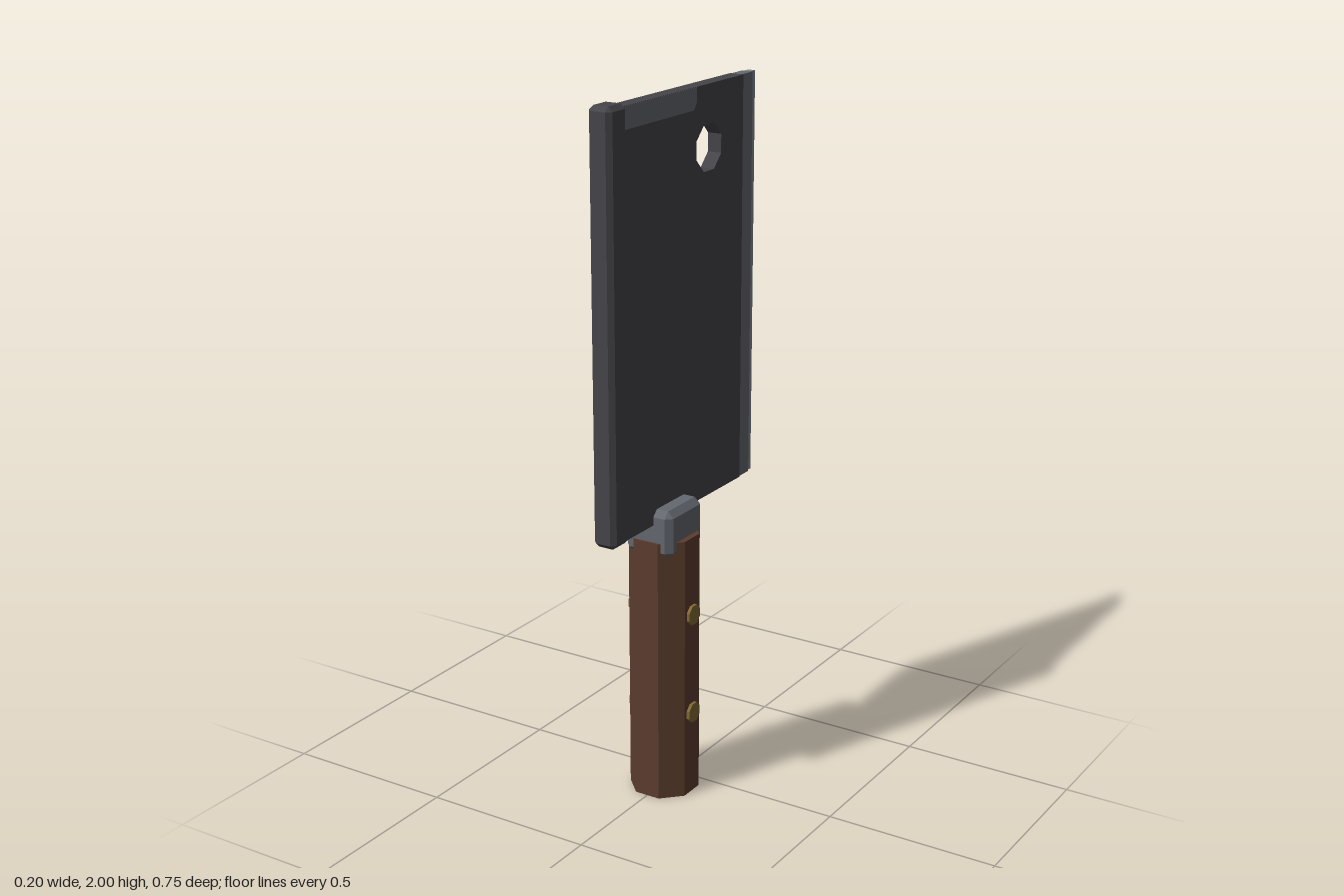
import * as THREE from 'three';
import { ConvexGeometry } from 'three/addons/geometries/ConvexGeometry.js';

const mat = (name, color) => Object.assign(new THREE.MeshStandardMaterial({ color }), { name });

// Give a geometry hard facets
function faceted(geometry) {
  const g = geometry.index ? geometry.toNonIndexed() : geometry;
  g.computeVertexNormals();
  return g;
}

// Box with every edge chamfered by c
function chamferBox(w, h, d, c) {
  const pts = [];
  for (const x of [-1, 1]) for (const y of [-1, 1]) for (const z of [-1, 1]) {
    const [a, b, e] = [w / 2, h / 2, d / 2];
    pts.push(new THREE.Vector3(x * a, y * (b - c), z * (e - c)));
    pts.push(new THREE.Vector3(x * (a - c), y * b, z * (e - c)));
    pts.push(new THREE.Vector3(x * (a - c), y * (b - c), z * e));
  }
  return new ConvexGeometry(pts);
}

// Extrude a (z, y) outline to a plate centred on x = 0
function plate(shape, thickness) {
  const g = new THREE.ExtrudeGeometry(shape, { depth: thickness, bevelEnabled: false });
  return g.translate(0, 0, -thickness / 2).rotateY(-Math.PI / 2);
}

const outline = (pts) => new THREE.Shape(pts.map(([z, y]) => new THREE.Vector2(z, y)));

export function createModel() {
  const group = new THREE.Group();
  const steel = mat('dark steel', 0x454449);
  const ground = mat('ground steel', 0x646870);
  const edge = mat('sharpened edge', 0x838c94);
  const wood = mat('brown wood', 0x5c3d2e);
  const brass = mat('dull brass', 0x806832);

  const add = (name, geometry, material, x = 0, y = 0, z = 0) => {
    const mesh = new THREE.Mesh(geometry, material);
    mesh.name = name;
    mesh.position.set(x, y, z);
    group.add(mesh);
  };

  // Blade with an octagonal hanging hole
  const blade = outline([[-0.295, 0.828], [0.31, 0.828], [0.31, 1.99], [-0.295, 1.99]]);
  const hole = [];
  for (let i = 0; i < 8; i++) {
    const a = -(i + 0.5) * Math.PI / 4;
    hole.push(new THREE.Vector2(-0.118 + 0.068 * Math.cos(a), 1.82 + 0.068 * Math.sin(a)));
  }
  blade.holes.push(new THREE.Path(hole));
  add('blade', plate(blade, 0.042), steel);

  // Stepped grind and cutting edge along the back
  add('bladeGrind', new THREE.BoxGeometry(0.034, 1.162, 0.057), ground, 0, 1.409, -0.3235);
  add('cuttingEdge', new THREE.BoxGeometry(0.022, 1.162, 0.025), edge, 0, 1.409, -0.3625);

  // Worn strip at the top of both blade faces
  const worn = outline([[0.3, 1.93], [0.3, 1.989], [-0.055, 1.989], [-0.055, 1.95], [-0.04, 1.93]]);
  for (const s of [-1, 1]) add('wornStrip', plate(worn, 0.002), ground, s * 0.0212);

  // Thick spine along the front
  add('spine', chamferBox(0.07, 1.175, 0.081, 0.013), steel, 0, 1.4125, 0.3345);

  // Collar whose corners stand proud of the handle
  add('collar', chamferBox(0.15, 0.137, 0.173, 0.018), ground, 0, 0.8015, 0.077);

  // Octagonal handle
  const radius = 0.092 / Math.cos(Math.PI / 8);
  const handle = new THREE.CylinderGeometry(radius, radius, 0.778, 8).rotateY(Math.PI / 8);
  add('handle', faceted(handle), wood, 0, 0.389, 0.077);

  // Rivets through the handle
  for (const y of [0.25, 0.55]) {
    const rivet = new THREE.CylinderGeometry(0.03, 0.03, 0.202, 8).rotateY(Math.PI / 8).rotateZ(Math.PI / 2);
    add('rivet', faceted(rivet), brass, 0, y, 0.077);
  }

  return group;
}
